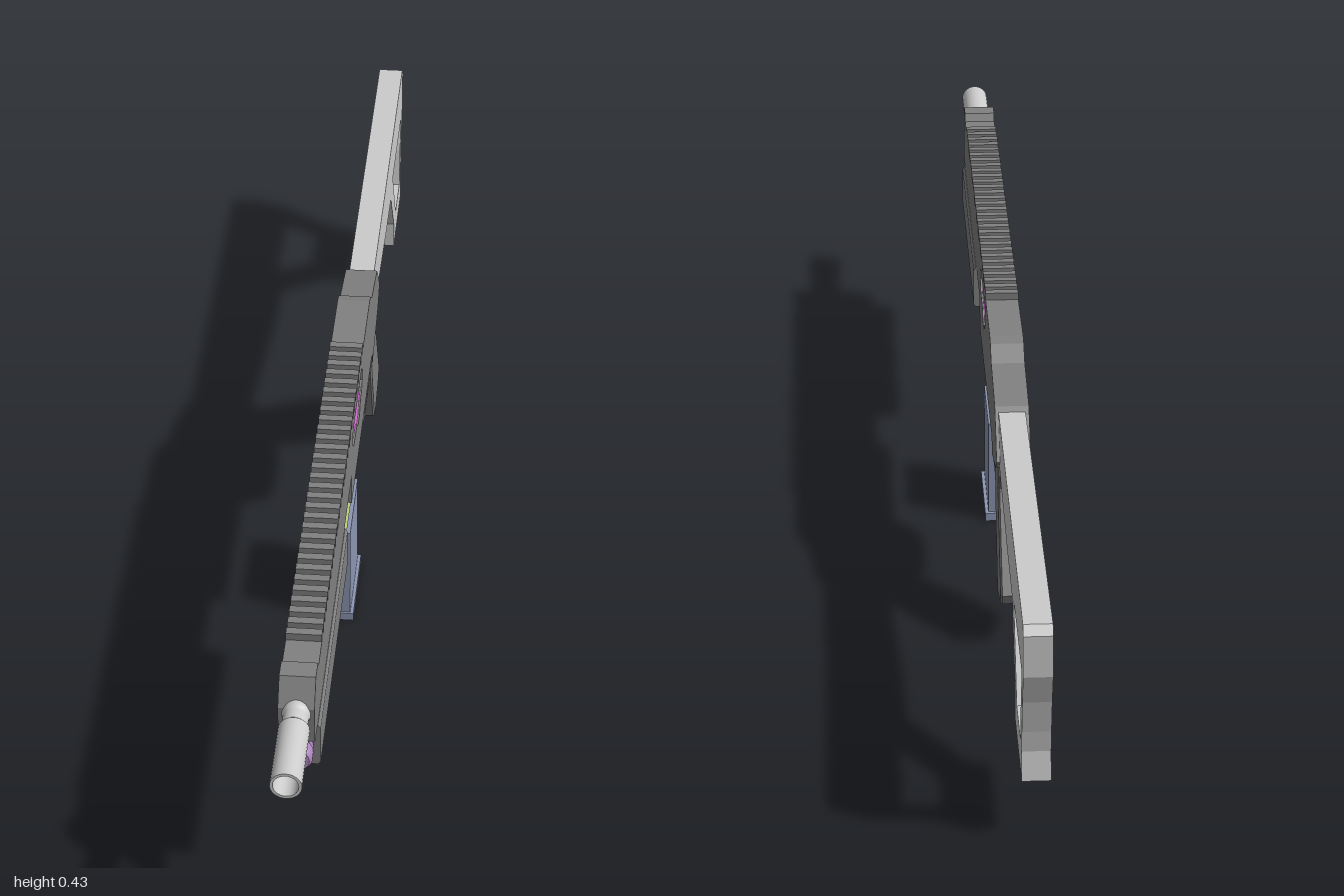
import * as THREE from 'three';

const mat = (color) => new THREE.MeshStandardMaterial({ color });
const DARK = mat(0x808080), GREY = mat(0xcccccc), PURPLE = mat(0xb088c0);
const MAGENTA = mat(0xf070f0), BLUE = mat(0x8c96b2), SHELL = mat(0xc0d070);

export function createModel() {
  const model = new THREE.Group();

  const add = (name, geo, material) => {
    const mesh = new THREE.Mesh(geo, material);
    mesh.name = name;
    model.add(mesh);
    return mesh;
  };
  const points = (list) => list.map(([z, y]) => new THREE.Vector2(z, y));

  // side profile in [z, y], extruded symmetrically across x
  const plate = (name, outline, width, material, holes = [], bevel = 0) => {
    const shape = new THREE.Shape(points(outline));
    holes.forEach((h) => shape.holes.push(new THREE.Path(points(h))));
    const depth = width - 2 * bevel;
    const geo = new THREE.ExtrudeGeometry(shape, {
      depth, bevelEnabled: bevel > 0, bevelSize: bevel, bevelThickness: bevel,
      bevelOffset: -bevel, bevelSegments: 1,
    });
    geo.translate(0, 0, -depth / 2).rotateY(-Math.PI / 2);
    return add(name, geo, material);
  };
  const box = (name, x, y, z, w, h, d, material) =>
    add(name, new THREE.BoxGeometry(w, h, d).translate(x, y, z), material);

  // turned part along z, profile in [radius, z] from back to front;
  // doubled corner points keep the steps sharp
  const turned = (name, profile, y, material) => {
    const pts = [];
    profile.forEach((p) => pts.push(p, p));
    const geo = new THREE.LatheGeometry(points(pts), 28);
    geo.rotateX(Math.PI / 2).translate(0, y, 0);
    return add(name, geo, material);
  };

  // receiver with ejection port through both sides and an open magazine well
  plate('receiver', [
    [0.847, 0.33], [0.847, 0.39], [0.822, 0.43], [0.79, 0.43], [0.783, 0.417],
    [-0.15, 0.417], [-0.17, 0.412], [-0.198, 0.391], [-0.25, 0.382], [-0.31, 0.37],
    [-0.335, 0.345], [-0.37, 0.303], [-0.335, 0.277], [-0.22, 0.243], [-0.21, 0.27],
    [0.02, 0.27], [0.02, 0.32], [0.168, 0.32], [0.168, 0.27],
    [0.205, 0.27], [0.205, 0.325], [0.84, 0.325],
  ], 0.053, DARK, [[
    [0.184, 0.385], [0.174, 0.395], [0.01, 0.395], [0, 0.385], [0, 0.365],
    [0.012, 0.352], [0.038, 0.35], [0.052, 0.333], [0.085, 0.333],
    [0.102, 0.35], [0.165, 0.353], [0.184, 0.368],
  ]]);
  for (const s of [-1, 1]) {
    box('magazineWellSide', s * 0.0238, 0.295, 0.094, 0.0054, 0.05, 0.148, DARK);
  }

  // top rail teeth
  const teeth = 30;
  for (let i = 0; i < teeth; i++) {
    const z = 0.72 - (i / (teeth - 1)) * 0.725;
    box('railTooth', 0, 0.4225, z, 0.053, 0.013, 0.014, DARK);
  }

  // bolt and its carrier, seen through the port
  turned('bolt', [[0, -0.03], [0.022, -0.03], [0.022, 0.2], [0, 0.2]], 0.38, GREY);
  plate('boltCarrier', [
    [0.17, 0.367], [0.005, 0.367], [0.012, 0.352], [0.038, 0.35],
    [0.052, 0.333], [0.085, 0.333], [0.102, 0.35], [0.165, 0.353],
  ], 0.047, MAGENTA);

  // barrel with a hollow muzzle and a narrow neck
  turned('barrel', [
    [0, 0.8], [0.021, 0.8], [0.021, 0.848], [0.019, 0.855], [0.019, 0.875],
    [0.023, 0.88], [0.023, 1], [0.0185, 1], [0.0185, 0.83], [0, 0.83],
  ], 0.38, GREY);

  // tube under the barrel with a grooved end cap
  turned('underTube', [
    [0, 0.19], [0.019, 0.19], [0.019, 0.805], [0.022, 0.81], [0.022, 0.818],
    [0.019, 0.822], [0.019, 0.826], [0.023, 0.83], [0.023, 0.846],
    [0.019, 0.852], [0, 0.852],
  ], 0.296, PURPLE);

  // sliding forend
  const forend = new THREE.Shape(points([
    [-0.0275, 0.248], [0.0275, 0.248], [0.031, 0.253], [0.031, 0.316],
    [0.027, 0.323], [-0.027, 0.323], [-0.031, 0.316], [-0.031, 0.253],
  ]));
  add('forend', new THREE.ExtrudeGeometry(forend, { depth: 0.465, bevelEnabled: false })
    .translate(0, 0, 0.338), DARK);

  // pistol grip
  plate('grip', [
    [-0.22, 0.25], [-0.335, 0.28], [-0.345, 0.265], [-0.335, 0.24], [-0.42, 0.095],
    [-0.41, 0.076], [-0.33, 0.052], [-0.318, 0.06], [-0.26, 0.18], [-0.253, 0.21],
  ].reverse(), 0.046, DARK, [], 0.003);

  // trigger guard and trigger
  plate('triggerGuard', [
    [-0.07, 0.272], [-0.072, 0.245], [-0.09, 0.212], [-0.12, 0.2], [-0.21, 0.2],
    [-0.255, 0.213], [-0.255, 0.272],
  ], 0.042, DARK, [[
    [-0.085, 0.267], [-0.088, 0.243], [-0.102, 0.22], [-0.125, 0.211],
    [-0.2, 0.211], [-0.222, 0.222], [-0.222, 0.245], [-0.205, 0.267],
  ]]);
  plate('trigger', [
    [-0.155, 0.27], [-0.166, 0.25], [-0.168, 0.235], [-0.16, 0.22],
    [-0.168, 0.218], [-0.18, 0.235], [-0.18, 0.27],
  ], 0.016, GREY);

  // skeleton shoulder stock
  plate('stock', [
    [-0.29, 0.363], [-0.985, 0.363], [-0.997, 0.35], [-0.997, 0.285], [-0.98, 0.235],
    [-0.968, 0.18], [-0.963, 0.145], [-0.97, 0.1], [-0.797, 0.1], [-0.797, 0.147],
    [-0.712, 0.257], [-0.6, 0.26], [-0.45, 0.272], [-0.36, 0.28], [-0.3, 0.3],
  ], 0.042, GREY, [[
    [-0.755, 0.274], [-0.962, 0.274], [-0.943, 0.215], [-0.933, 0.147], [-0.84, 0.147],
  ]]);

  // detached magazine: open shell, floor plate and cartridges
  const body = new THREE.Shape(points([
    [-0.021, -0.167], [0.021, -0.167], [0.021, -0.02], [-0.021, -0.02],
  ]));
  body.holes.push(new THREE.Path(points([
    [-0.014, -0.157], [0.014, -0.157], [0.014, -0.03], [-0.014, -0.03],
  ])));
  add('magazineBody', new THREE.ExtrudeGeometry(body, { depth: 0.164, bevelEnabled: false })
    .rotateX(-Math.PI / 2).translate(0, 0.014, 0), BLUE);
  box('magazineFloor', 0, 0.007, 0.0925, 0.053, 0.014, 0.157, BLUE);
  box('cartridges', 0, 0.092, 0.0935, 0.027, 0.156, 0.126, SHELL);

  return model;
}
